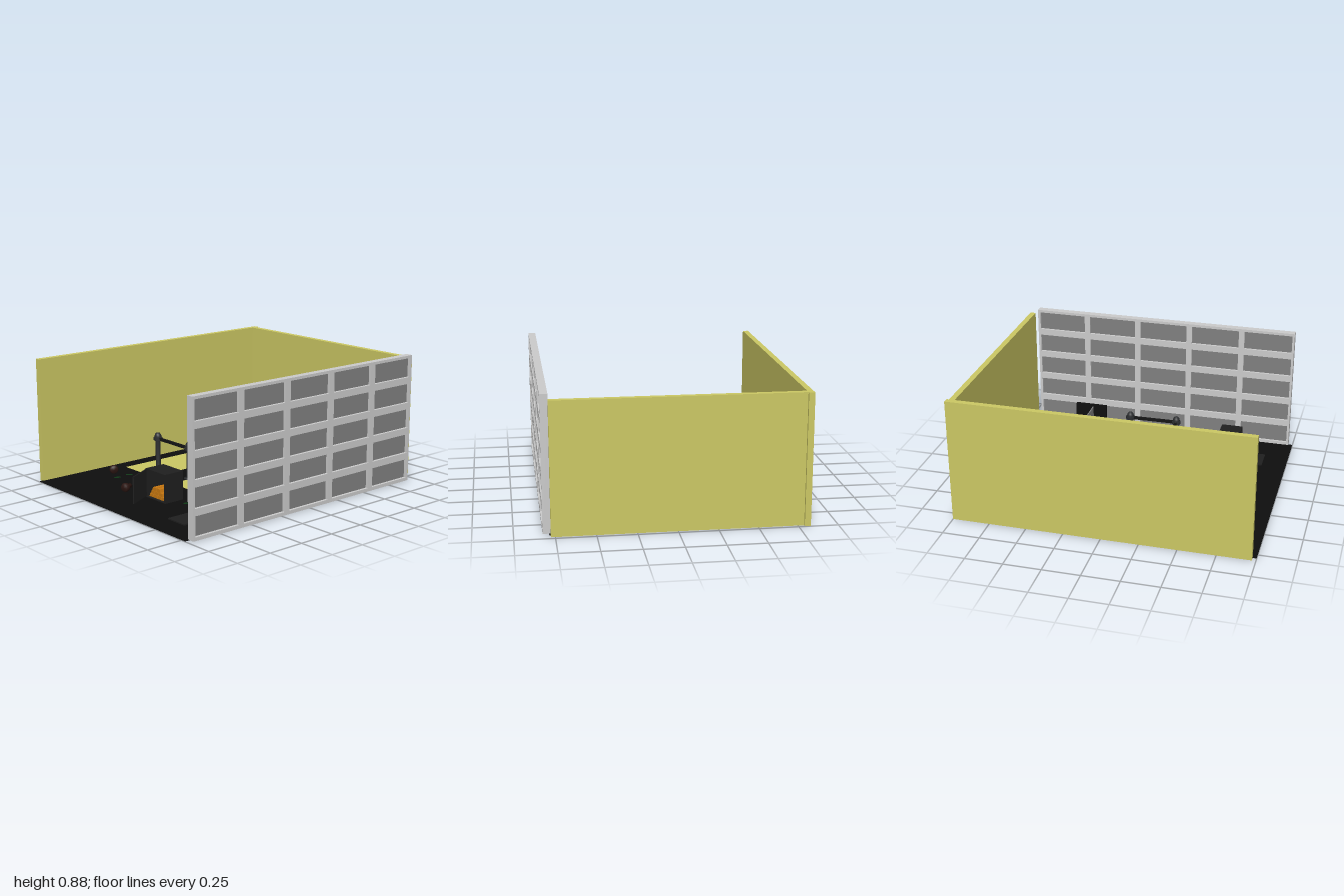
import * as THREE from 'three';

const mat = (color) => new THREE.MeshStandardMaterial({ color, side: THREE.DoubleSide });

export function createModel() {
  const root = new THREE.Group();
  const M = {
    black: mat(0x0e0e0e), yellow: mat(0xccc864), frame: mat(0xcccccc), pane: mat(0x808080),
    wood: mat(0x7f5a3c), safe: mat(0x1f1f1f), post: mat(0x2c2e30), rope: mat(0x141414),
    gold: mat(0xc87810), cash: mat(0x0e3c16), sack: mat(0x2c1612), paper: mat(0xc4c4c8),
  };
  const add = (name, geo, m, parent = root) => {
    const mesh = new THREE.Mesh(geo, m);
    mesh.name = name;
    parent.add(mesh);
    return mesh;
  };
  // Box given by its minimum and maximum on each axis
  const box = (name, m, x0, x1, y0, y1, z0, z1, parent) => {
    const b = add(name, new THREE.BoxGeometry(x1 - x0, y1 - y0, z1 - z0), m, parent);
    b.position.set((x0 + x1) / 2, (y0 + y1) / 2, (z0 + z1) / 2);
    return b;
  };
  const group = (name, x = 0, y = 0, z = 0) => {
    const g = new THREE.Group();
    g.name = name;
    g.position.set(x, y, z);
    root.add(g);
    return g;
  };

  // Floor: dark front area, alternating dark and yellow lanes behind it
  box('frontFloor', M.black, -0.795, 0.785, 0.002, 0.006, 0.35, 1);
  const lanes = [-0.795, -0.69, -0.375, -0.165, 0.155, 0.365, 0.685, 0.785];
  for (let i = 0; i < 7; i++) {
    box('floorLane', i % 2 ? M.yellow : M.black, lanes[i], lanes[i + 1], 0.002, 0.006, -0.95, 0.35);
  }

  // Walls
  box('leftWall', M.yellow, -0.825, -0.787, 0.002, 0.85, -1, 0.975);
  box('backWall', M.yellow, -0.787, 0.777, 0.002, 0.85, -0.983, -0.945);

  // Window wall: one frame with five by five openings and recessed panes
  const win = group('windowWall');
  const outline = new THREE.Shape();
  outline.moveTo(-0.97, 0.004).lineTo(0.925, 0.004).lineTo(0.925, 0.877).lineTo(-0.97, 0.877).closePath();
  for (let i = 0; i < 5; i++) {
    for (let j = 0; j < 5; j++) {
      const u = -0.955 + i * 0.3805, v = 0.027 + j * 0.1755, w = 0.34, h = 0.13;
      const hole = new THREE.Path();
      hole.moveTo(u, v).lineTo(u, v + h).lineTo(u + w, v + h).lineTo(u + w, v).closePath();
      outline.holes.push(hole);
      box('windowPane', M.pane, 0.792, 0.806, v, v + h, -u - w, -u, win);
    }
  }
  const frame = add('windowFrame', new THREE.ExtrudeGeometry(outline, { depth: 0.05, bevelEnabled: false }), M.frame, win);
  frame.rotation.y = Math.PI / 2;
  frame.position.x = 0.775;

  // Counter booths between tall dividers
  const counter = group('counter');
  const dividers = [[-0.687, -0.66], [-0.415, -0.358], [-0.112, -0.055], [0.19, 0.246], [0.492, 0.518]];
  dividers.forEach(([a, b], i) => {
    box('divider', M.black, a, b, 0.001, 0.29, -0.555, -0.33, counter);
    if (i === 4) return;
    const end = dividers[i + 1][0];
    box('counterPanel', M.wood, b, end, 0, 0.172, -0.5, -0.395, counter);
    box('counterTop', M.wood, b, end, 0.178, 0.203, -0.547, -0.36, counter);
    box('counterGlass', M.pane, b, end, 0.203, 0.278, -0.432, -0.424, counter);
  });
  for (const [x, turn] of [[-0.55, 0.5], [-0.23, -0.7]]) {
    const d = add('keypad', new THREE.BoxGeometry(0.07, 0.012, 0.05), M.post, counter);
    d.position.set(x, 0.209, -0.485);
    d.rotation.y = turn;
  }
  box('floorSheet', M.paper, -0.06, 0.05, 0, 0.008, -0.69, -0.56);

  // Cabinet in the back corner with a smaller safe on top
  const cabinet = group('backCabinet');
  box('cabinetLeft', M.safe, -0.68, -0.385, 0, 0.22, -0.93, -0.785, cabinet);
  box('cabinetRight', M.safe, -0.385, -0.25, 0, 0.215, -0.93, -0.785, cabinet);
  box('topSafe', M.safe, -0.595, -0.385, 0.22, 0.39, -0.93, -0.785, cabinet);
  for (const [x, y] of [[-0.51, 0.12], [-0.425, 0.3]]) {
    const k = add('knob', new THREE.CylinderGeometry(0.016, 0.016, 0.014, 16), M.post, cabinet);
    k.rotation.x = Math.PI / 2;
    k.position.set(x, y, -0.778);
  }

  // Rope barrier: turned posts joined by straight ropes
  const postProfile = [[0, 0], [0.035, 0], [0.035, 0.012], [0.018, 0.02], [0.017, 0.205], [0.025, 0.21],
    [0.025, 0.238], [0.021, 0.254], [0.012, 0.264], [0, 0.267]].map((p) => new THREE.Vector2(...p));
  const posts = [[-0.52, 0.19], [-0.175, 0.19], [0.17, 0.19], [0.507, 0.19], [0.503, -0.15]];
  posts.forEach(([x, z], i) => {
    add('barrierPost', new THREE.LatheGeometry(postProfile, 20), M.post).position.set(x, 0, z);
    const cap = add('barrierCollar', new THREE.CylinderGeometry(0.031, 0.031, 0.02, 20), M.post);
    cap.position.set(x, 0.222, z);
    if (!i) return;
    const [px, pz] = posts[i - 1];
    const rope = add('barrierRope', new THREE.BoxGeometry(0.015, 0.02, Math.hypot(x - px, z - pz)), M.rope);
    rope.position.set((x + px) / 2, 0.222, (z + pz) / 2);
    rope.rotation.y = Math.atan2(x - px, z - pz);
  });

  // Open-fronted safe shell
  const openSafe = (name, x0, x1, h) => {
    const g = group(name), t = 0.012, z0 = 0.512, z1 = 0.66;
    box('safeBase', M.safe, x0, x1, 0, t, z0, z1, g);
    box('safeRoof', M.safe, x0, x1, h - t, h, z0, z1, g);
    box('safeBack', M.safe, x0, x1, t, h - t, z0, z0 + t, g);
    box('safeSide', M.safe, x0, x0 + t, t, h - t, z0 + t, z1, g);
    box('safeSide', M.safe, x1 - t, x1, t, h - t, z0 + t, z1, g);
    return g;
  };

  // Safe with gold bars and a swung-open door
  const goldSafe = openSafe('goldSafe', -0.045, 0.16, 0.2);
  const barShape = new THREE.Shape();
  barShape.moveTo(-0.02, 0).lineTo(0.02, 0).lineTo(0.015, 0.022).lineTo(-0.015, 0.022).closePath();
  const barGeo = new THREE.ExtrudeGeometry(barShape, { depth: 0.1, bevelEnabled: false });
  [4, 3, 2].forEach((n, row) => {
    for (let i = 0; i < n; i++) {
      add('goldBar', barGeo, M.gold, goldSafe).position.set(-0.005 + i * 0.042 + row * 0.016, 0.013 + row * 0.0235, 0.545);
    }
  });
  const door = group('openDoor', -0.04, 0.105, 0.66);
  door.rotation.y = -1.09;
  box('doorPanel', M.safe, 0, 0.19, -0.09, 0.09, -0.004, 0.004, door);

  // Safe with banknotes, its door lying on the floor
  const cashSafe = openSafe('cashSafe', 0.4, 0.582, 0.21);
  for (let i = 0; i < 4; i++) {
    for (let j = 0; j < 3; j++) {
      const x = 0.415 + i * 0.039;
      box('cashBundle', M.cash, x, x + 0.034, 0.014 + j * 0.014, 0.026 + j * 0.014, 0.55, 0.65, cashSafe);
    }
  }
  box('fallenDoor', M.safe, 0.41, 0.57, 0, 0.014, 0.662, 0.835);

  // Loose banknotes
  [[-0.41, 0.36, 0.6], [-0.515, 0.45, 0.8], [-0.515, 0.55, 1.2],
    [0.35, 0.36, 0.9], [0.245, 0.45, 0.8], [0.245, 0.55, 1.2]].forEach(([x, z, turn]) => {
    const note = add('banknote', new THREE.BoxGeometry(0.045, 0.004, 0.016), M.cash);
    note.position.set(x, 0.009, z);
    note.rotation.y = turn;
  });

  // Sacks lying on their sides
  const sackProfile = [[0, 0], [0.024, 0.002], [0.031, 0.014], [0.029, 0.032], [0.018, 0.05], [0.009, 0.058],
    [0.016, 0.072], [0, 0.07]].map((p) => new THREE.Vector2(...p));
  for (const [x, z, turn] of [[-0.6, 0.515, 1.1], [-0.215, 0.715, 0.3]]) {
    const s = group('sack', x, 0.035, z);
    s.rotation.y = turn;
    add('sackBody', new THREE.LatheGeometry(sackProfile, 14), M.sack, s).rotation.x = -Math.PI / 2;
  }
  return root;
}
